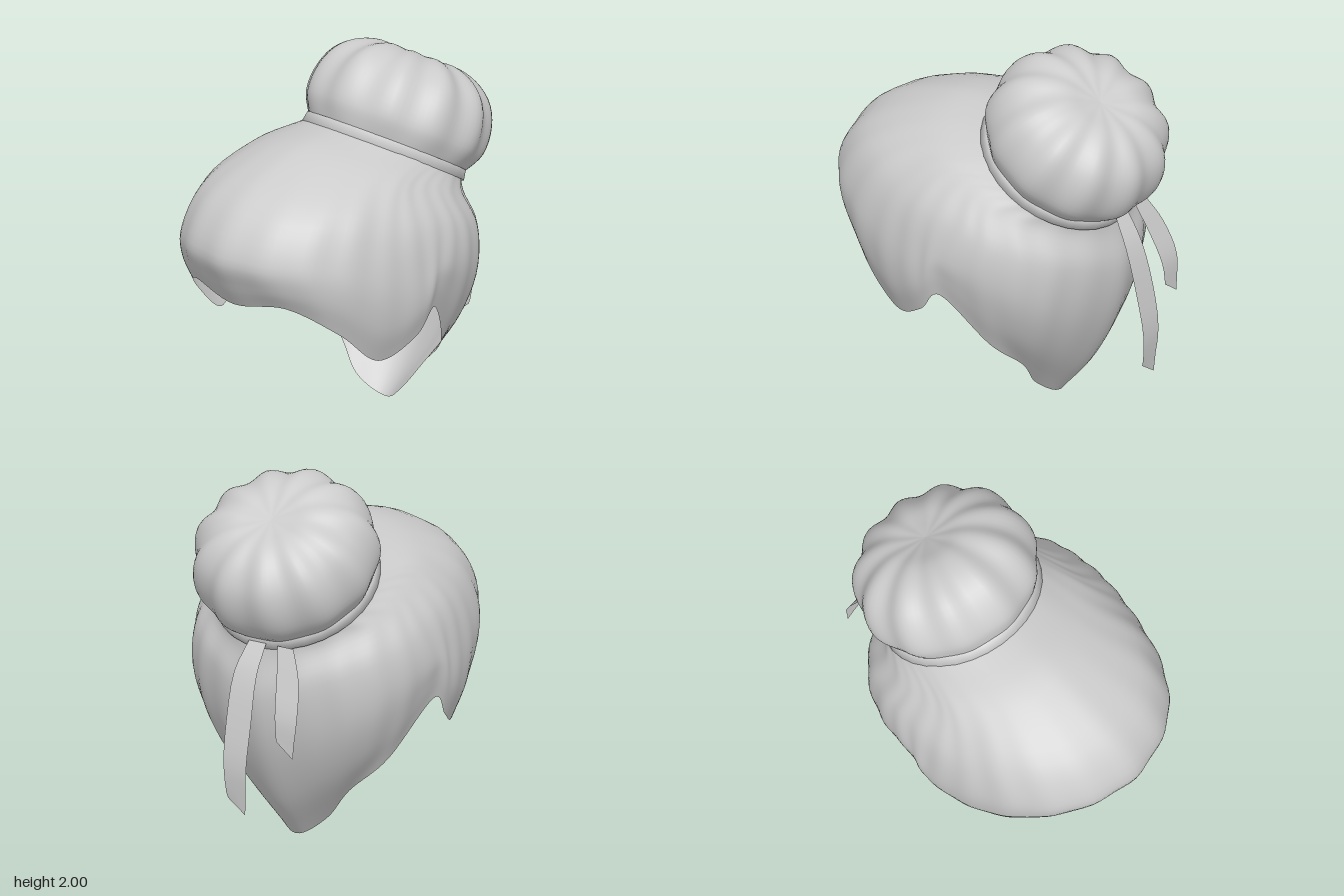
import * as THREE from 'three';

const V = (x, y, z) => new THREE.Vector3(x, y, z);
const material = new THREE.MeshStandardMaterial({ color: 0xcccccc, side: THREE.DoubleSide });

function addMesh(parent, name, geometry) {
  const mesh = new THREE.Mesh(geometry, material);
  mesh.name = name;
  parent.add(mesh);
  return mesh;
}

// Surface through a grid of points: point(u, v), u across, v down
function gridSurface(cols, rows, closed, point) {
  const pos = [], index = [], n = closed ? cols : cols + 1;
  for (let j = 0; j <= rows; j++)
    for (let i = 0; i < n; i++) pos.push(...point(i / cols, j / rows).toArray());
  for (let j = 0; j < rows; j++)
    for (let i = 0; i < cols; i++) {
      const k = (i + 1) % n, a = j * n + i, b = a + n, c = (j + 1) * n + k, d = j * n + k;
      index.push(a, b, c, a, c, d);
    }
  const g = new THREE.BufferGeometry();
  g.setAttribute('position', new THREE.Float32BufferAttribute(pos, 3));
  g.setIndex(index);
  g.computeVertexNormals();
  return g;
}

// Half of the swept hair, front to back: angle on the band, then points down to the hem
const bandAngles = [0, 0.5, 0.9, 1.15, 1.4, 1.6, 1.85, 2.2, 2.65, Math.PI];
const locks = [
  [[0, 1.6, 0.36], [0, 1.41, 0.79], [0, 1.16, 0.945], [0, 1.0, 0.89], [0, 0.87, 0.82]],
  [[0.22, 1.565, 0.35], [0.31, 1.38, 0.71], [0.33, 1.15, 0.845], [0.33, 1.02, 0.82], [0.32, 0.91, 0.76]],
  [[0.38, 1.52, 0.23], [0.5, 1.36, 0.48], [0.54, 1.12, 0.61], [0.54, 0.95, 0.61], [0.51, 0.75, 0.55]],
  [[0.49, 1.46, 0.11], [0.6, 1.27, 0.28], [0.65, 1.0, 0.34], [0.63, 0.75, 0.33], [0.56, 0.55, 0.31]],
  [[0.52, 1.42, 0], [0.64, 1.25, 0.08], [0.69, 1.0, 0.1], [0.69, 0.82, 0.1], [0.64, 0.65, 0.1]],
  [[0.53, 1.38, -0.14], [0.64, 1.22, -0.12], [0.69, 1.02, -0.06], [0.68, 0.91, -0.04], [0.65, 0.78, -0.03]],
  [[0.53, 1.32, -0.28], [0.62, 1.15, -0.3], [0.65, 0.95, -0.28], [0.6, 0.72, -0.26], [0.5, 0.48, -0.24]],
  [[0.45, 1.25, -0.46], [0.51, 1.08, -0.51], [0.53, 0.82, -0.49], [0.46, 0.55, -0.42], [0.31, 0.29, -0.32]],
  [[0.26, 1.16, -0.64], [0.3, 1.0, -0.67], [0.32, 0.7, -0.62], [0.27, 0.4, -0.5], [0.16, 0.1, -0.3]],
  [[0, 1.1, -0.73], [0, 0.9, -0.755], [0, 0.6, -0.7], [0, 0.25, -0.54], [0, 0, -0.35]],
];

function sweptHair() {
  const half = locks.map((lock, i) => {
    const a = bandAngles[i];
    const start = V(0.43 * Math.sin(a), 1.42 + 0.21 * Math.cos(a), -0.35 + 0.37 * Math.cos(a));
    return [start, ...lock.map((p) => V(...p))];
  });
  const mirrored = half.slice(1, -1).reverse().map((c) => c.map((p) => V(-p.x, p.y, p.z)));
  const columns = [...half, ...mirrored];
  const rings = half[0].map((_, r) => new THREE.CatmullRomCurve3(columns.map((c) => c[r]), true, 'catmullrom'));
  const cols = 144;
  const strands = Array.from({ length: cols }, (_, i) =>
    new THREE.CatmullRomCurve3(rings.map((ring) => ring.getPoint(i / cols)), false, 'centripetal'));
  return gridSurface(cols, 24, true, (u, v) => {
    const p = strands[Math.round(u * cols)].getPoint(v);
    // soft ripple that fades out at the band and the hem
    const s = 1 + 0.006 * Math.sin(Math.PI * v) * Math.cos(u * Math.PI * 2 * 24);
    return V(p.x * s, p.y, p.z * s);
  });
}

// Round bun with lobes, its axis along y
function bunGeometry() {
  const profile = new THREE.CatmullRomCurve3([
    [0.41, -0.02], [0.45, 0.04], [0.49, 0.13], [0.485, 0.26], [0.435, 0.38],
    [0.34, 0.465], [0.22, 0.507], [0.1, 0.5], [0, 0.49],
  ].map(([r, y]) => V(r, y, 0)));
  return gridSurface(96, 28, true, (u, v) => {
    const p = profile.getPoint(1 - v), a = u * Math.PI * 2;
    const r = Math.max(p.x, 0);
    const lobe = Math.sin(Math.PI * v) * Math.min(1, r / 0.4) * Math.cos(11 * a);
    return V(r * (1 + 0.03 * lobe) * Math.sin(a), p.y * (1 + 0.02 * lobe), r * (1 + 0.03 * lobe) * Math.cos(a));
  });
}

// Flat ribbon end hanging from the band, cut at a slant
function ribbonGeometry(path, width) {
  const curve = new THREE.CatmullRomCurve3(path.map((p) => V(...p)));
  return gridSurface(2, 12, false, (u, v) => {
    const p = curve.getPoint(v);
    p.x -= (u - 0.5) * width * (0.7 + 0.3 * Math.sin(Math.PI * v));
    p.y += v === 1 ? (0.5 - u) * 0.08 : 0;
    return p;
  });
}

export function createModel() {
  const model = new THREE.Group();
  model.name = 'hairstyle';
  addMesh(model, 'sweptHair', sweptHair());

  // Bun and its band share one backward tilt
  const topKnot = new THREE.Group();
  topKnot.name = 'topKnot';
  topKnot.position.set(0, 1.42, -0.35);
  topKnot.rotation.x = -0.54;
  model.add(topKnot);
  addMesh(topKnot, 'bun', bunGeometry());
  const bandProfile = [[0.42, -0.03], [0.455, -0.03], [0.445, 0.025], [0.42, 0.025]];
  addMesh(topKnot, 'hairBand', new THREE.LatheGeometry(bandProfile.map(([x, y]) => new THREE.Vector2(x, y)), 32));

  addMesh(model, 'longRibbon', ribbonGeometry(
    [[0, 1.2, -0.74], [0.02, 1.05, -0.83], [0.02, 0.8, -0.9], [0.02, 0.55, -0.94], [0.02, 0.33, -0.92]], 0.15));
  addMesh(model, 'shortRibbon', ribbonGeometry(
    [[-0.17, 1.2, -0.74], [-0.22, 1.05, -0.8], [-0.25, 0.85, -0.87], [-0.25, 0.68, -0.88]], 0.14));
  return model;
}
